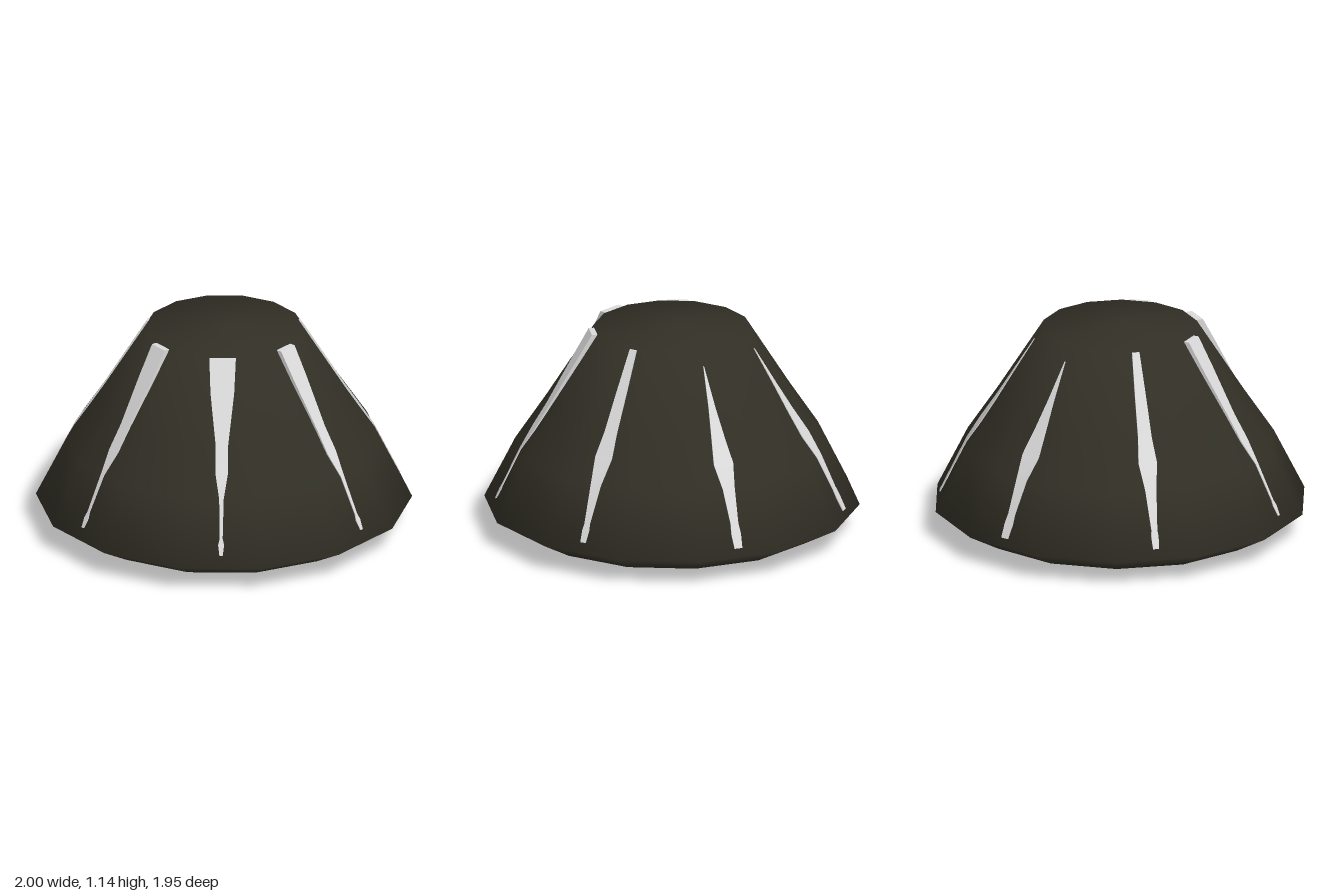
import * as THREE from 'three';

// Body outline as [radius, height], from the underside centre to the apex
const PROFILE = [[0, 0.03], [0.81, 0.033], [1, 0.137], [0.834, 0.47], [0.67, 0.715], [0.417, 1.115], [0, 1.145]];
const FLAT = Math.cos(Math.PI / 14); // distance to the middle of a facet

// Radius of the sloping wall at a height
function wallRadius(y) {
  for (let i = 2; i < 5; i++) {
    const [r0, y0] = PROFILE[i], [r1, y1] = PROFILE[i + 1];
    if (y <= y1 + 1e-6) return r0 + (r1 - r0) * (y - y0) / (y1 - y0);
  }
  return PROFILE[5][0];
}

const lathe = (points, sides, start, material) => new THREE.Mesh(
  new THREE.LatheGeometry(points.map(([x, y]) => new THREE.Vector2(x, y)), sides, start), material);

// Thin tapering strip following the wall; rows are [height, half width], top first
function makeStripe(rows, lift, material) {
  const n = rows.length - 1;
  const geometry = new THREE.BoxGeometry(1, 1, 1, 1, n, 1);
  const pos = geometry.attributes.position;
  for (let i = 0; i < pos.count; i++) {
    const [y, half] = rows[Math.round((0.5 - pos.getY(i)) * n)];
    const rise = 0.005 + lift * Math.max(0, (y - 0.5) / 0.61);
    const z = wallRadius(y) * FLAT + (pos.getZ(i) > 0 ? rise : -0.01);
    pos.setXYZ(i, Math.sign(pos.getX(i)) * half, y, z);
  }
  geometry.computeVertexNormals();
  return new THREE.Mesh(geometry, material);
}

export function createModel() {
  const model = new THREE.Group();
  const dark = new THREE.MeshStandardMaterial({ color: 0x312f25 });
  dark.name = 'darkOlive';
  const pale = new THREE.MeshStandardMaterial({ color: 0xdadada });
  pale.name = 'paleGrey';

  // Fourteen-sided shell
  const body = lathe(PROFILE, 14, Math.PI / 2, dark);
  body.name = 'body';
  model.add(body);

  // Seven-sided foot: bevelled ring with a flat plate
  const foot = new THREE.Group();
  foot.name = 'foot';
  const ring = lathe([[0.54, 0], [0.67, 0.008], [0.7, 0.032]], 7, 0, pale);
  ring.name = 'footBevel';
  const plate = new THREE.Mesh(new THREE.CircleGeometry(0.54, 7, Math.PI / 2), pale);
  plate.rotation.x = Math.PI / 2;
  plate.name = 'footPlate';
  foot.add(ring, plate);
  model.add(foot);

  // Stripe outlines, from the front one round to the back pair
  const front = [[1.11, 0.07], [0.96, 0.063], [0.715, 0.033], [0.59, 0.034], [0.47, 0.012], [0.28, 0.008], [0.25, 0.016], [0.2, 0.009]];
  const frontSide = front.map(([y, w]) => [y, w > 0.05 ? w * 0.8 : w]);
  const side = [[1.11, 0.02], [0.9, 0.03], [0.715, 0.037], [0.6, 0.05], [0.47, 0.03], [0.28, 0.016], [0.25, 0.02], [0.19, 0.016]];
  const back = [[1.04, 0.002], [0.85, 0.019], [0.715, 0.036], [0.585, 0.055], [0.47, 0.034], [0.3, 0.022], [0.25, 0.027], [0.18, 0.022]];
  const outlines = [[front, 0.038], [frontSide, 0.025], [side, 0.005], [back, 0]];

  outlines.forEach(([rows, lift], i) => {
    for (const s of i ? [1, -1] : [1]) {
      const stripe = makeStripe(rows, lift, pale);
      stripe.rotation.y = s * i * Math.PI * 2 / 7;
      stripe.name = ['frontStripe', 'frontSideStripe', 'sideStripe', 'backStripe'][i] + (i ? (s > 0 ? 'Left' : 'Right') : '');
      model.add(stripe);
    }
  });
  return model;
}
